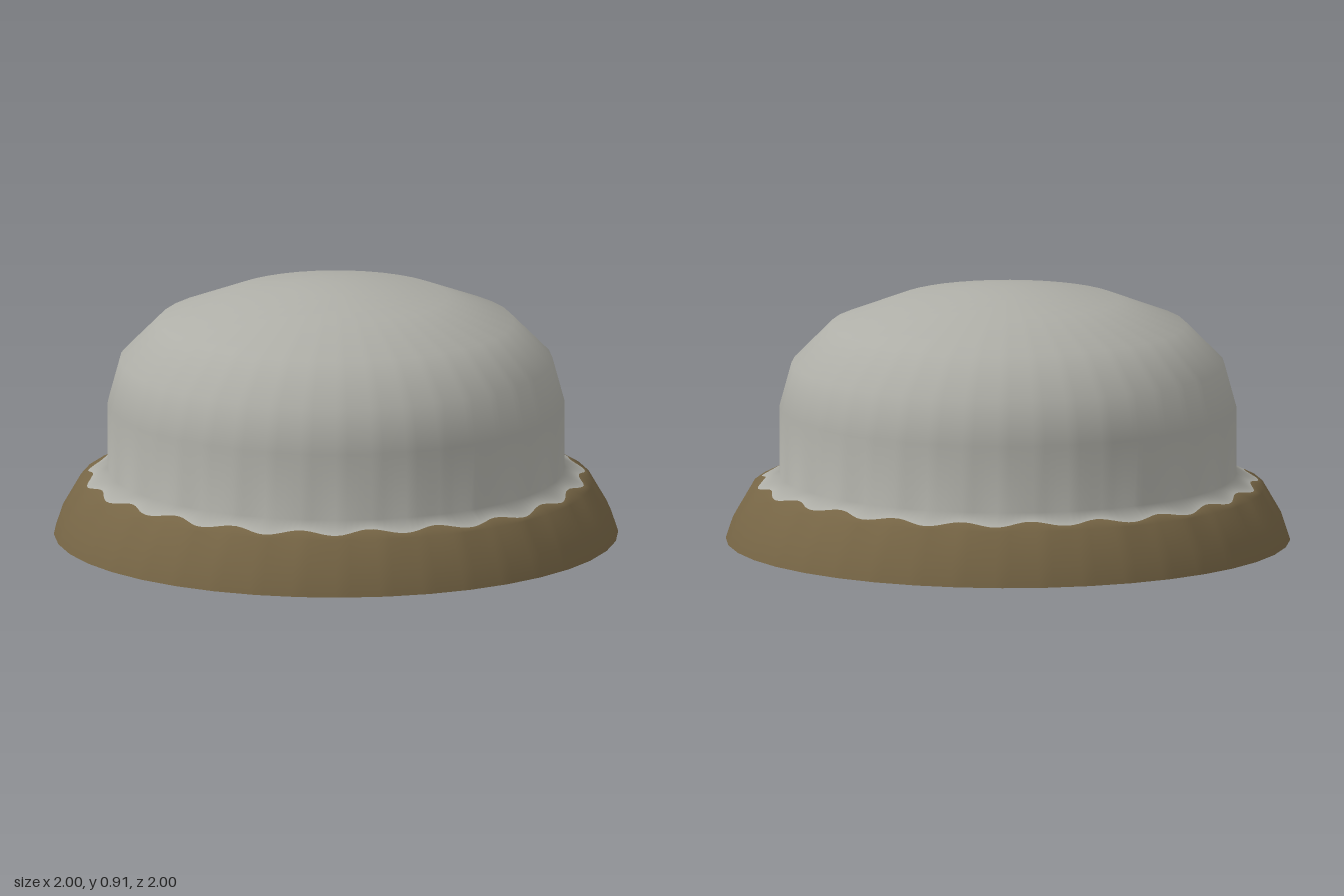
import * as THREE from 'three';

const SIDES = 40; // outline is a 40-sided polygon
const STEPS = 240; // finer steps for the wavy colour border

// Radius correction that puts fine steps on the flat sides of the polygon
function flatten(step) {
  const local = ((step * SIDES / STEPS) % 1 - 0.5) * (2 * Math.PI / SIDES);
  return Math.cos(Math.PI / SIDES) / Math.cos(local);
}

export function createModel() {
  const stone = new THREE.MeshStandardMaterial({ color: 0xaeaea7, side: THREE.DoubleSide });
  stone.name = 'pale grey';
  const earth = new THREE.MeshStandardMaterial({ color: 0x766545, side: THREE.DoubleSide });
  earth.name = 'earth brown';

  // Profile as [radius, height], bottom to top; the wavy ring lies on the sloping shelf
  const WAVE_RING = 3;
  const profile = [
    [1, 0], [0.975, 0.075], [0.91, 0.187], [0.875, 0.2045], [0.81, 0.237],
    [0.81, 0.475], [0.767, 0.632], [0.63, 0.77], [0.397, 0.86], [0.16, 0.896],
  ];
  const positions = [];
  profile.forEach(([r, y], ring) => {
    for (let i = 0; i < STEPS; i++) {
      const a = i / STEPS * Math.PI * 2;
      const wave = ring === WAVE_RING
        ? 0.014 * Math.cos(22 * a) + 0.004 * Math.cos(6 * a) : 0;
      const radius = (r + wave) * flatten(i);
      positions.push(Math.sin(a) * radius, y - wave * 0.5, Math.cos(a) * radius);
    }
  });
  const pole = positions.length / 3;
  positions.push(0, 0.907, 0);

  // Faces between two rings
  function band(from, to) {
    const index = [];
    for (let ring = from; ring < to; ring++) {
      for (let i = 0; i < STEPS; i++) {
        const j = (i + 1) % STEPS;
        const a = ring * STEPS + i, b = ring * STEPS + j;
        index.push(a, b, b + STEPS, a, b + STEPS, a + STEPS);
      }
    }
    return index;
  }
  const last = profile.length - 1;
  const skirtFaces = band(0, WAVE_RING);
  const domeFaces = band(WAVE_RING, last);
  for (let i = 0; i < STEPS; i++) {
    domeFaces.push(last * STEPS + i, last * STEPS + (i + 1) % STEPS, pole);
  }

  // Smooth normals over the whole shell, shared by both coloured parts
  const shell = new THREE.BufferGeometry();
  shell.setAttribute('position', new THREE.Float32BufferAttribute(positions, 3));
  shell.setIndex([...skirtFaces, ...domeFaces]);
  shell.computeVertexNormals();

  const group = new THREE.Group();
  group.name = 'domedShell';
  for (const [name, faces, material] of [['skirt', skirtFaces, earth], ['dome', domeFaces, stone]]) {
    const geometry = new THREE.BufferGeometry();
    geometry.setAttribute('position', shell.attributes.position);
    geometry.setAttribute('normal', shell.attributes.normal);
    geometry.setIndex(faces);
    const mesh = new THREE.Mesh(geometry, material);
    mesh.name = name;
    group.add(mesh);
  }
  return group;
}
